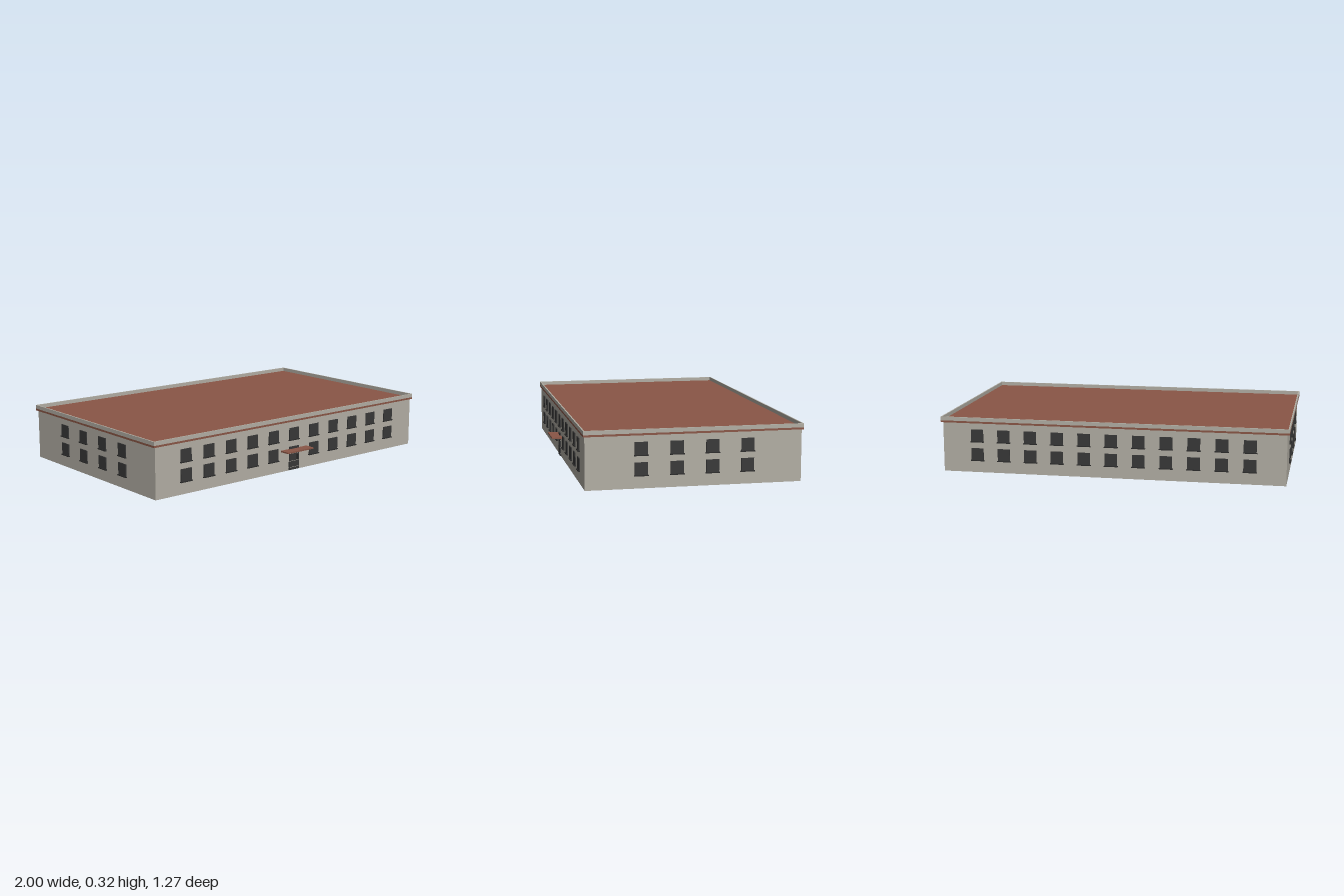
import * as THREE from 'three';

const mat = (name, color) => {
  const m = new THREE.MeshStandardMaterial({ color });
  m.name = name;
  return m;
};

export function createModel() {
  const wallMat = mat('warm grey render', 0xb2aea4);
  const roofMat = mat('red brown roof', 0x8a5646);
  const glassMat = mat('dark glass', 0x383838);
  const sillMat = mat('charcoal trim', 0x2a2a2a);
  wallMat.side = THREE.DoubleSide;

  const model = new THREE.Group();
  const CZ = -0.025;              // middle of the main block
  const HX = 0.988, HZ = 0.597;   // half sizes of the walls
  const WALL_H = 0.289, ROOF_TOP = 0.3, TOP = 0.322;

  const box = (parent, name, m, w, h, d, x, y, z) => {
    const mesh = new THREE.Mesh(new THREE.BoxGeometry(w, h, d), m);
    mesh.name = name;
    mesh.position.set(x, y, z);
    parent.add(mesh);
    return mesh;
  };

  // A window with its sill; local z = 0 is the wall plane
  const addWindow = (parent, x, y) => {
    const win = new THREE.Group();
    win.name = 'window';
    win.position.set(x, y, 0);
    box(win, 'windowPane', glassMat, 0.072, 0.072, 0.009, 0, 0, 0.001);
    box(win, 'windowSill', sillMat, 0.08, 0.005, 0.014, 0, -0.036, 0.003);
    parent.add(win);
  };

  // One facade facing local +z, open shell with rows of windows
  const addFacade = (name, half, dist, angle, count, step, hasDoor) => {
    const side = new THREE.Group();
    side.name = name;
    const wall = new THREE.Mesh(new THREE.PlaneGeometry(half * 2, WALL_H), wallMat);
    wall.name = 'wall';
    wall.position.y = WALL_H / 2;
    side.add(wall);
    for (let i = 0; i < count; i++) {
      const x = (i - (count - 1) / 2) * step;
      addWindow(side, x, 0.216);
      if (!(hasDoor && i === (count - 1) / 2)) addWindow(side, x, 0.106);
    }
    side.position.set(Math.sin(angle) * dist, 0, CZ + Math.cos(angle) * dist);
    side.rotation.y = angle;
    model.add(side);
    return side;
  };

  const front = addFacade('frontFacade', HX, HZ, 0, 11, 0.157, true);
  addFacade('backFacade', HX, HZ, Math.PI, 11, 0.157, false);
  addFacade('leftFacade', HZ, HX, Math.PI / 2, 4, 0.195, false);
  addFacade('rightFacade', HZ, HX, -Math.PI / 2, 4, 0.195, false);

  // Entrance: panelled door, handle bar and canopy
  const entrance = new THREE.Group();
  entrance.name = 'entrance';
  front.add(entrance);
  box(entrance, 'doorBacking', wallMat, 0.072, 0.138, 0.006, 0, 0.071, 0.002);
  [[0.003, 0.017], [0.02, 0.054], [0.057, 0.099], [0.102, 0.141]].forEach(([a, b]) =>
    box(entrance, 'doorPanel', glassMat, 0.074, b - a, 0.01, 0, (a + b) / 2, 0.002));
  box(entrance, 'doorHandle', sillMat, 0.008, 0.032, 0.006, 0.022, 0.076, 0.01);
  box(entrance, 'canopy', roofMat, 0.2, 0.008, 0.062, 0, 0.124, 0.031);

  // Roof slab with its visible edge band
  box(model, 'roofSlab', roofMat, 2, ROOF_TOP - WALL_H, 1.21, 0, (ROOF_TOP + WALL_H) / 2, CZ);

  // Parapet around the roof
  const t = 0.008, h = TOP - ROOF_TOP, y = (TOP + ROOF_TOP) / 2;
  for (const s of [-1, 1]) {
    box(model, 'parapetLong', wallMat, 2, h, t, 0, y, CZ + s * (0.605 - t / 2));
    box(model, 'parapetShort', wallMat, t, h, 1.21 - 2 * t, s * (1 - t / 2), y, CZ);
  }
  return model;
}
